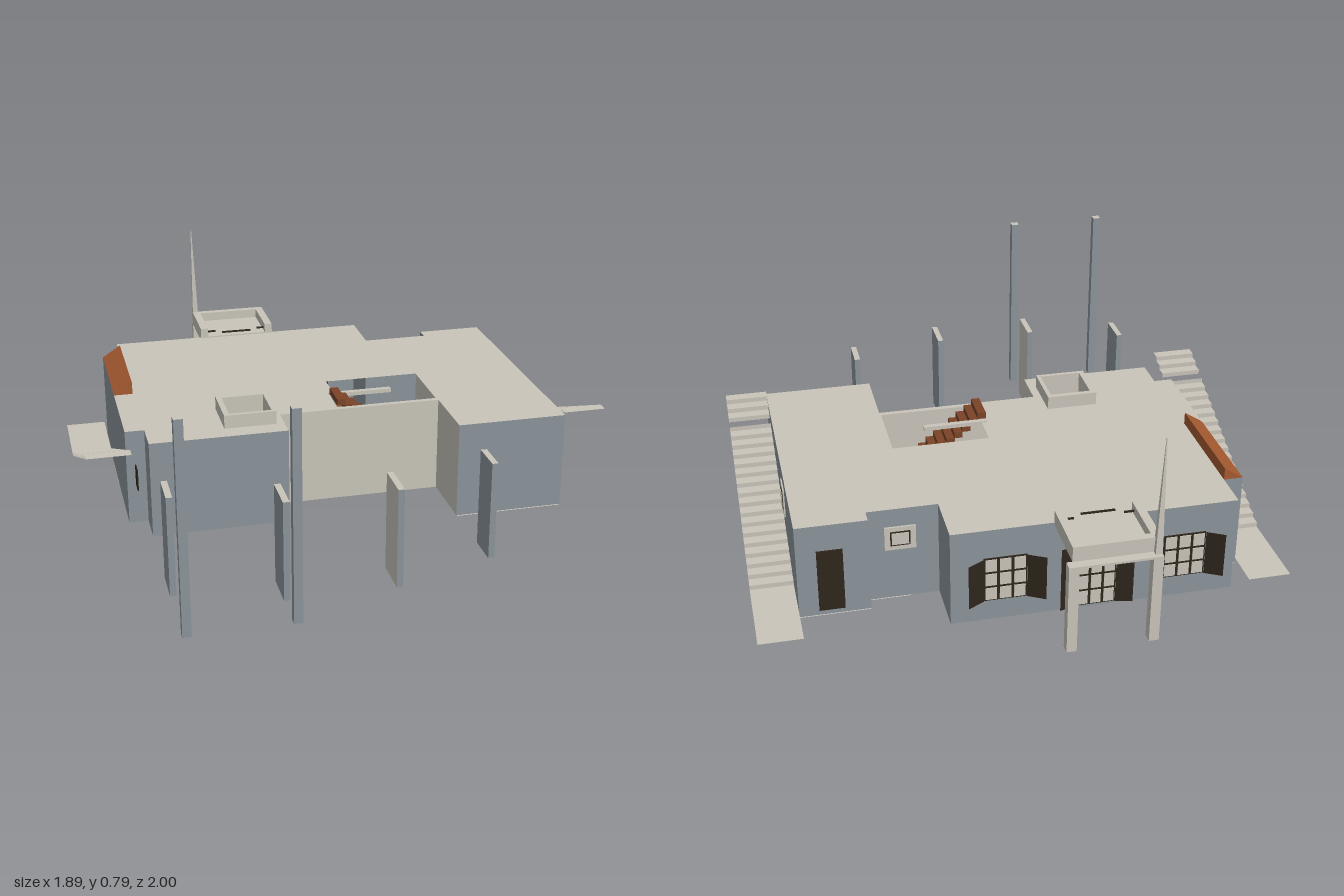
import * as THREE from 'three';

const mat = (name, color, double = true) => {
  const m = new THREE.MeshStandardMaterial({ color, side: double ? THREE.DoubleSide : THREE.FrontSide });
  m.name = name;
  return m;
};

export function createModel() {
  const root = new THREE.Group();
  const stone = mat('pale plaster', 0xc9c5ba), blue = mat('blue grey wall', 0x8b959c);
  const tile = mat('orange roof tile', 0xa55a30), wood = mat('stair wood', 0x7a4428);
  const floorMat = mat('tan floor', 0x9e7658), dark = mat('dark shutter', 0x2e261c);

  const add = (name, geo, m, parent = root) => {
    const mesh = new THREE.Mesh(geo, m);
    mesh.name = name;
    parent.add(mesh);
    return mesh;
  };
  // Box given by its min and max on each axis
  const box = (name, m, x0, x1, y0, y1, z0, z1, parent = root) => {
    const g = new THREE.BoxGeometry(x1 - x0, y1 - y0, z1 - z0);
    g.translate((x0 + x1) / 2, (y0 + y1) / 2, (z0 + z1) / 2);
    return add(name, g, m, parent);
  };
  // Horizontal plate from x,z points
  const toV = (pts) => pts.map(([x, z]) => new THREE.Vector2(x, -z));
  const rect = (x0, x1, z0, z1) => [[x0, z0], [x1, z0], [x1, z1], [x0, z1]];
  const flat = (name, m, pts, y, holes = []) => {
    const s = new THREE.Shape(toV(pts));
    holes.forEach((h) => s.holes.push(new THREE.Path(toV(h))));
    const g = new THREE.ShapeGeometry(s);
    g.rotateX(-Math.PI / 2).translate(0, y, 0);
    return add(name, g, m);
  };
  // Vertical wall between two x,z points; outside is on the left of a to b
  const wall = (name, m, a, b, y0, y1, parent = root) => {
    const dx = b[0] - a[0], dz = b[1] - a[1];
    const g = new THREE.PlaneGeometry(Math.hypot(dx, dz), y1 - y0);
    g.rotateY(Math.atan2(-dz, dx)).translate((a[0] + b[0]) / 2, (y0 + y1) / 2, (a[1] + b[1]) / 2);
    return add(name, g, m, parent);
  };

  // House shell, anticlockwise seen from above
  const B = 0.02, T = 0.38;
  const outline = [
    [-0.72, 0.29], [-0.22, 0.29], [-0.22, 0.14], [0.385, 0.14], [0.385, 0.39], [0.79, 0.39],
    [0.79, -0.6], [0.54, -0.6], [0.54, -0.55], [0.29, -0.55], [0.29, -0.75], [-0.72, -0.75],
    [-0.72, -0.61], [-0.79, -0.61], [-0.79, 0.165], [-0.72, 0.165],
  ];
  outline.forEach((p, i) => {
    const recess = i >= 1 && i <= 3;
    wall(recess ? 'recessWall' : 'outerWall', recess ? stone : blue, p, outline[(i + 1) % outline.length], B, T);
  });
  const stairHole = [[0.02, -0.14], [0.38, -0.14], [0.38, 0.12], [0, 0.12], [0, 0], [0.02, 0]];
  flat('flatRoof', stone, outline, T, [rect(-0.42, -0.26, 0.05, 0.21), stairHole]);
  flat('floor', floorMat, outline, B);
  flat('wingUnderside', stone, rect(0.39, 0.79, -0.55, 0.39), B - 0.003);
  flat('wingUndersideBack', stone, rect(0.54, 0.79, -0.6, -0.55), B - 0.003);
  flat('bayUnderside', stone, rect(-0.79, -0.72, -0.61, -0.19), B - 0.003);

  // Light shaft through the house
  box('shaftSide', stone, -0.44, -0.42, 0, 0.43, 0.03, 0.22);
  box('shaftSide', stone, -0.265, -0.25, 0, 0.43, 0.03, 0.22);
  box('shaftEnd', stone, -0.42, -0.265, 0, 0.43, 0.03, 0.05);
  box('shaftEnd', stone, -0.42, -0.265, 0, 0.43, 0.205, 0.22);
  box('shaftBase', stone, -0.42, -0.265, 0, 0.02, 0.05, 0.205);
  flat('shaftFloor', blue, rect(-0.42, -0.265, 0.05, 0.205), 0.03);

  // Inner dog-leg stair and landing
  for (let i = 0; i < 8; i++) {
    const x = 0.03 * i, y = 0.41 - 0.024 * i;
    box('upperStep', wood, x, x + 0.032, y - 0.024, y, 0, 0.12);
    if (i < 7) {
      const yl = 0.045 + 0.024 * i;
      box('lowerStep', wood, 0.025 + x, 0.057 + x, yl - 0.024, yl, -0.14, -0.02);
    }
  }
  box('landing', wood, 0.24, 0.38, 0.19, 0.21, -0.14, 0.12);
  box('stairRail', stone, 0, 0.24, 0.37, 0.385, -0.02, 0);
  wall('wellWall', stone, [0.382, 0.125], [0.382, -0.14], 0.21, T);
  wall('wellWall', stone, [0.1, 0.125], [0.382, 0.125], 0.21, T);

  // Lean-to tiled roof on the side bay
  const tri = new THREE.Shape([[-0.79, 0.38], [-0.72, 0.38], [-0.72, 0.425]].map((p) => new THREE.Vector2(...p)));
  add('leanToRoof', new THREE.ExtrudeGeometry(tri, { depth: 0.42, bevelEnabled: false }).translate(0, 0, -0.61), tile);

  // Open folded outer stairs on both sides, one tread left out
  for (const s of [-1, 1]) {
    const x0 = Math.min(s * 0.79, s * 0.945), x1 = x0 + 0.155;
    const N = 20, run = 0.82 / N, rise = 0.35 / N;
    flat('stairFoot', stone, rect(x0, x1, -0.75, -0.43), 0.04);
    for (let i = 0; i < N; i++) {
      const z = -0.43 + run * i, y = 0.04 + rise * i;
      wall('riser', stone, [x1, z], [x0, z], y, y + rise);
      if (i !== 16) flat('tread', stone, rect(x0, x1, z, z + run), y + rise);
    }
  }

  // Freestanding fins with one pale face, and tall posts
  const fins = [[-0.71, 0.6, 0.73, 0], [-0.35, 0.71, 0.85, 1], [0.035, 0.71, 0.85, -1], [0.4, 0.61, 0.73, 0]];
  for (const [x, z0, z1, pale] of fins) {
    const f = box('fin', blue, x - 0.011, x + 0.011, B, T, z0, z1);
    f.material = [pale > 0 ? stone : blue, pale < 0 ? stone : blue, stone, blue, blue, blue];
  }
  for (const x of [-0.705, -0.345]) {
    const p = box('tallPost', blue, x - 0.015, x + 0.015, B, 0.765, 0.97, 1);
    p.material = [blue, blue, stone, blue, blue, blue];
  }

  // Back porch: slab with raised rim, two posts and a tapering spire
  const porch = new THREE.Group();
  porch.name = 'porch';
  root.add(porch);
  box('porchSlab', stone, -0.37, -0.07, 0.365, 0.385, -0.967, -0.74, porch);
  box('porchRim', stone, -0.37, -0.34, 0.365, 0.42, -0.967, -0.74, porch);
  box('porchRim', stone, -0.1, -0.07, 0.365, 0.42, -0.967, -0.74, porch);
  box('porchRim', stone, -0.34, -0.1, 0.365, 0.42, -0.967, -0.94, porch);
  box('porchEdge', stone, -0.37, -0.05, 0.357, 0.365, -1, -0.965, porch);
  for (const x of [-0.37, -0.085]) box('porchPost', stone, x, x + 0.035, 0.03, 0.36, -1, -0.965, porch);
  const spire = box('porchSpire', stone, -0.37, -0.345, 0.36, 0.785, -0.985, -0.96, porch);
  const sp = spire.geometry.attributes.position;
  for (let i = 0; i < sp.count; i++) {
    if (sp.getY(i) > 0.5) sp.setXYZ(i, -0.367 + (sp.getX(i) + 0.367) * 0.12, 0.785, -0.962 + (sp.getZ(i) + 0.962) * 0.12);
  }
  spire.geometry.computeVertexNormals();
  box('lintelTrim', dark, -0.28, -0.16, 0.395, 0.402, -0.746, -0.742, porch);
  for (const x of [-0.34, -0.13]) box('lintelHook', dark, x, x + 0.035, 0.395, 0.402, -0.767, -0.763, porch);

  // Back openings: dark sheet, pale panes and splayed shutters
  const opening = (name, x0, x1, y0, y1, rows, splay) => {
    const g = new THREE.Group();
    g.name = name;
    root.add(g);
    box('sash', dark, x0, x1, y0, y1, -0.754, -0.749, g);
    const w = (x1 - x0) / 3, h = (y1 - y0) / rows;
    for (let c = 0; c < 3; c++) for (let r = 0; r < rows; r++) {
      box('pane', stone, x0 + c * w + 0.005, x0 + (c + 1) * w - 0.005, y0 + r * h + 0.005, y0 + (r + 1) * h - 0.005, -0.757, -0.753, g);
    }
    wall('shutter', dark, [x0, -0.757], [x0 - 0.06, -0.757 - splay], y0, y1, g);
    wall('shutter', dark, [x1 + 0.06, -0.757 - splay], [x1, -0.757], y0, y1, g);
  };
  opening('backWindow', -0.61, -0.46, 0.1, 0.27, 3, 0.033);
  opening('backWindow', 0.025, 0.175, 0.1, 0.27, 3, 0.033);
  opening('backDoors', -0.29, -0.15, 0.03, 0.28, 4, 0.015);

  // Side door, small framed windows and an open flap
  box('sideDoor', dark, 0.63, 0.72, 0.04, 0.28, -0.606, -0.598);
  box('smallWindowFrame', stone, 0.37, 0.48, 0.22, 0.31, -0.557, -0.549);
  box('smallWindowSash', dark, 0.39, 0.46, 0.237, 0.293, -0.559, -0.55);
  box('smallWindowPane', stone, 0.395, 0.455, 0.242, 0.288, -0.561, -0.553);
  box('sideWindowFrame', stone, 0.788, 0.795, 0.22, 0.33, -0.265, -0.18);
  box('sideWindowSash', dark, 0.789, 0.797, 0.24, 0.31, -0.243, -0.202);
  box('sideWindowPane', stone, 0.79, 0.799, 0.245, 0.305, -0.239, -0.206);
  box('openFlap', dark, -0.759, -0.755, 0.17, 0.25, 0.165, 0.22);

  return root;
}
